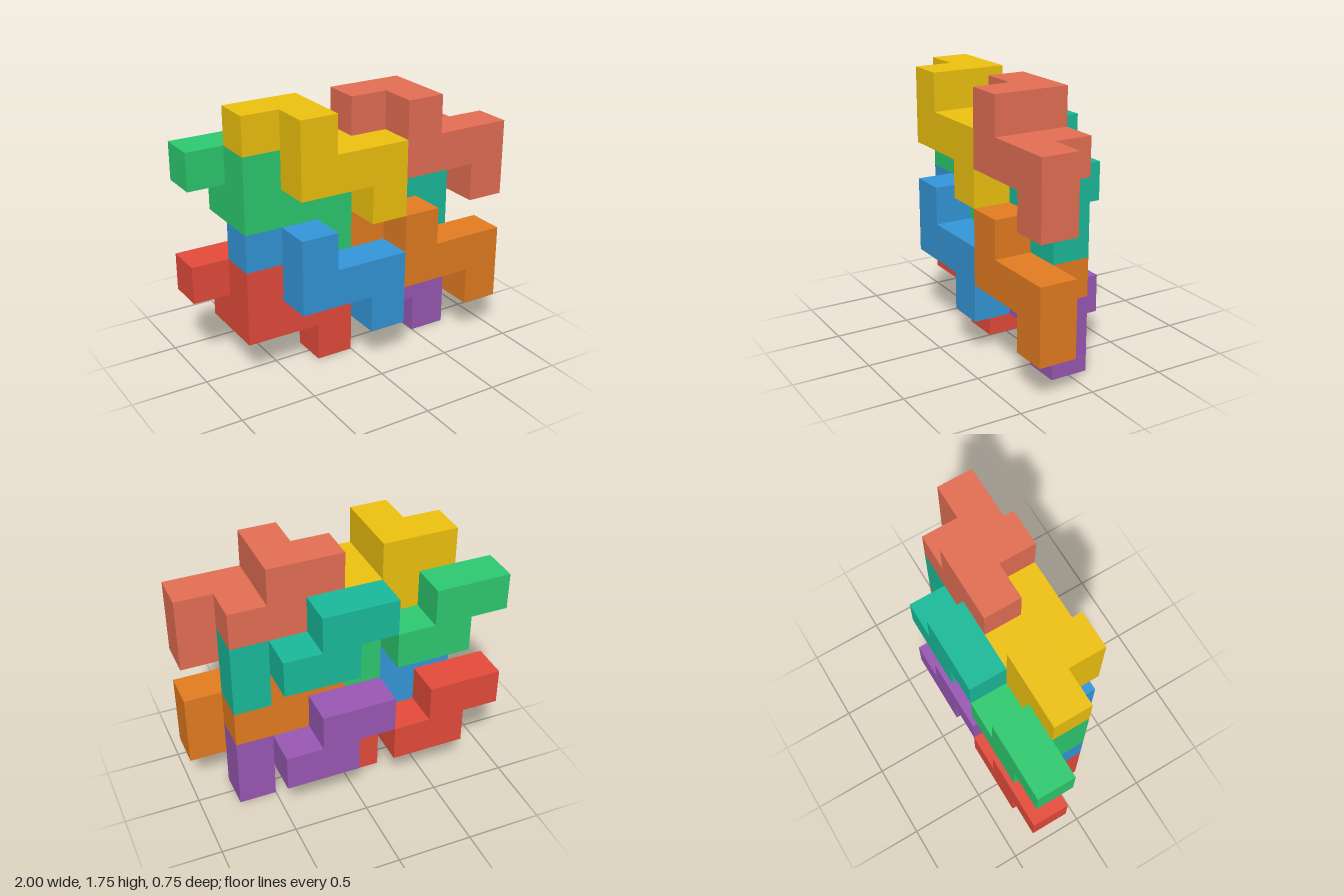
import * as THREE from 'three';
import { mergeGeometries } from 'three/addons/utils/BufferGeometryUtils.js';

const CELL = 0.25;

// One-cell-thick slab from a stepped outline given in cell units
function slab(outline, layer) {
  const shape = new THREE.Shape(outline.map(([x, y]) => new THREE.Vector2(x * CELL, y * CELL)));
  return new THREE.ExtrudeGeometry(shape, { depth: CELL, bevelEnabled: false })
    .translate(0, 0, layer * CELL);
}

// Every puzzle piece is the same block: a back slab joined to a front slab
function pieceGeometry() {
  const back = [[1, 1], [3, 1], [3, 2], [2, 2], [2, 3], [0, 3], [0, 2], [1, 2]];
  const front = [[1, 1], [3, 1], [3, 0], [4, 0], [4, 2], [2, 2], [2, 3], [1, 3]];
  return mergeGeometries([slab(back, 0), slab(front, 1)]);
}

export function createModel() {
  const model = new THREE.Group();
  model.name = 'interlockingBlocks';
  const geometry = pieceGeometry();

  // Name, colour and cell offset (x, y, z) of each piece
  const pieces = [
    ['redPiece', 0xe74c3c, 0, 0, 0],
    ['purplePiece', 0x9b59b6, 3, 0, 0],
    ['greenPiece', 0x2ecc71, 0, 3, 0],
    ['tealPiece', 0x1abc9c, 3, 3, 0],
    ['bluePiece', 0x3498db, 1, 1, 1],
    ['orangePiece', 0xe67e22, 4, 1, 1],
    ['yellowPiece', 0xf1c40f, 1, 4, 1],
    ['salmonPiece', 0xe67055, 4, 4, 1],
  ];
  for (const [name, color, x, y, z] of pieces) {
    const mesh = new THREE.Mesh(geometry, new THREE.MeshStandardMaterial({ color }));
    mesh.name = name;
    mesh.position.set(-1 + x * CELL, y * CELL, -0.375 + z * CELL);
    model.add(mesh);
  }
  return model;
}
